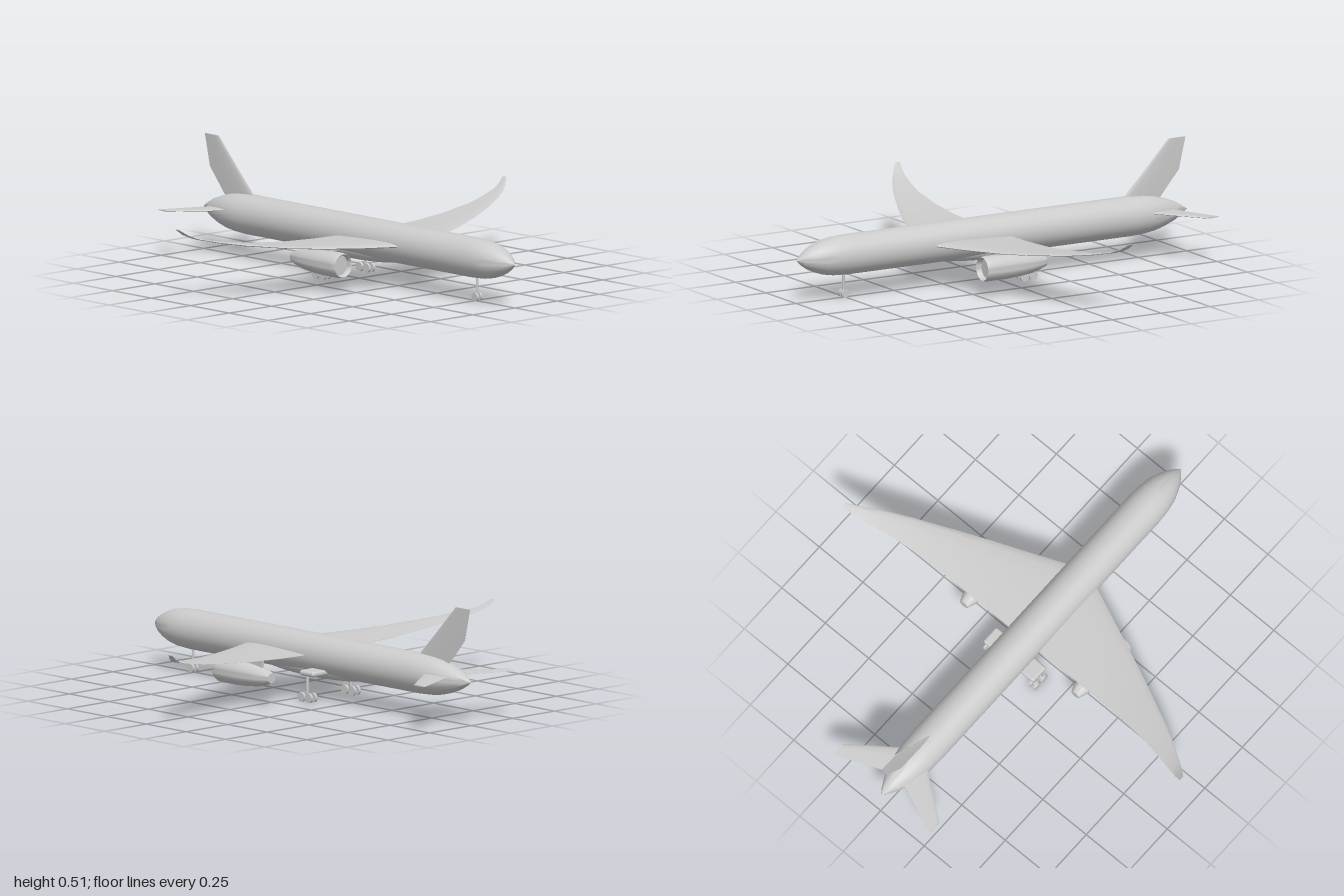
import * as THREE from 'three';
import { toCreasedNormals } from 'three/addons/utils/BufferGeometryUtils.js';
import { RoundedBoxGeometry } from 'three/addons/geometries/RoundedBoxGeometry.js';

const grey = new THREE.MeshStandardMaterial({ color: 0xcccccc, side: THREE.DoubleSide });

function add(parent, name, geometry, x = 0, y = 0, z = 0) {
  const mesh = new THREE.Mesh(geometry, grey);
  mesh.name = name;
  mesh.position.set(x, y, z);
  parent.add(mesh);
  return mesh;
}

function group(parent, name, x = 0, y = 0, z = 0) {
  const g = new THREE.Group();
  g.name = name;
  g.position.set(x, y, z);
  parent.add(g);
  return g;
}

// Body of revolution about the z axis from [z, radius] pairs running back to front
function turned(profile, segments = 40) {
  const points = profile.map(([z, r]) => new THREE.Vector2(r, z));
  return toCreasedNormals(new THREE.LatheGeometry(points, segments).rotateX(Math.PI / 2), 0.7);
}

// Skin over closed cross-sections that all have the same number of points
function loft(sections) {
  const n = sections[0].length;
  const index = [];
  for (let i = 0; i < sections.length - 1; i++) {
    for (let j = 0; j < n; j++) {
      const a = i * n + j, b = i * n + (j + 1) % n;
      index.push(a, a + n, b, b, a + n, b + n);
    }
  }
  const last = (sections.length - 1) * n;
  for (let j = 1; j < n - 1; j++) index.push(0, j, j + 1, last, last + j + 1, last + j);
  const g = new THREE.BufferGeometry();
  g.setAttribute('position', new THREE.Float32BufferAttribute(sections.flat(2), 3));
  g.setIndex(index);
  return toCreasedNormals(g, 0.6);
}

// Aerofoil outline: [fraction of chord from the leading edge, fraction of half thickness]
const FOIL = [[0, 0], [0.03, 0.5], [0.12, 0.9], [0.35, 1], [0.7, 0.55], [1, 0.06],
  [1, -0.06], [0.7, -0.55], [0.35, -1], [0.12, -0.9], [0.03, -0.5]];

// Aerofoil surface through stations [span, height, leading z, trailing z, thickness]
function surface(stations) {
  return loft(stations.map(([x, y, lead, trail, t]) =>
    FOIL.map(([c, h]) => [x, y + h * t / 2, lead + (trail - lead) * c])));
}

const mirrored = (s) => [...s.slice(1).reverse().map(([x, ...rest]) => [-x, ...rest]), ...s];

function addWheelPair(parent, radius, spacing, z) {
  for (const side of [-1, 1]) {
    add(parent, 'wheel', new THREE.CylinderGeometry(radius, radius, 0.011, 24).rotateZ(Math.PI / 2),
      side * spacing, radius, z);
  }
  add(parent, 'axle', new THREE.CylinderGeometry(0.004, 0.004, spacing * 2, 10).rotateZ(Math.PI / 2), 0, radius, z);
}

export function createModel() {
  const plane = new THREE.Group();
  plane.name = 'airliner';

  // Fuselage with pointed nose and tail
  add(plane, 'fuselage', turned([[-1, 0], [-0.97, 0.02], [-0.93, 0.042], [-0.87, 0.064], [-0.82, 0.077],
    [-0.77, 0.084], [-0.7, 0.088], [0.75, 0.088], [0.82, 0.084], [0.87, 0.075], [0.91, 0.061],
    [0.94, 0.047], [0.965, 0.031], [1, 0]], 48), 0, 0.19, 0);
  add(plane, 'bellyFairing', new THREE.SphereGeometry(1, 32, 20).scale(0.06, 0.045, 0.36), 0, 0.13, -0.03);

  // Swept wings, curving up towards the tips
  add(plane, 'wings', surface(mirrored([
    [0, 0.192, 0.38, -0.045, 0.024],
    [0.09, 0.194, 0.34, -0.045, 0.022],
    [0.23, 0.197, 0.28, -0.045, 0.018],
    [0.4, 0.205, 0.207, -0.046, 0.014],
    [0.55, 0.217, 0.138, -0.053, 0.011],
    [0.72, 0.238, 0.055, -0.07, 0.009],
    [0.82, 0.255, 0, -0.093, 0.007],
    [0.9, 0.273, -0.052, -0.113, 0.006],
    [0.935, 0.289, -0.078, -0.122, 0.005],
    [0.968, 0.315, -0.106, -0.131, 0.004],
  ])));

  // Tailplane and its elevators
  add(plane, 'tailplane', surface(mirrored([
    [0, 0.206, -0.72, -0.93, 0.012], [0.06, 0.206, -0.765, -0.905, 0.011], [0.278, 0.206, -0.93, -0.998, 0.006],
  ])));
  // Upright fin, laid out along x and turned to stand up
  add(plane, 'fin', surface([
    [0.24, 0, -0.645, -0.85, 0.013], [0.27, 0, -0.67, -0.875, 0.012],
    [0.37, 0, -0.768, -0.96, 0.01], [0.512, 0, -0.903, -0.993, 0.006],
  ]).rotateZ(Math.PI / 2));

  // Engines hung below the wings
  for (const side of [-1, 1]) {
    const engine = group(plane, side > 0 ? 'leftEngine' : 'rightEngine', side * 0.32, 0.125, 0);
    add(engine, 'nacelle', turned([[-0.076, 0], [-0.076, 0.022], [-0.045, 0.034], [0, 0.045], [0.06, 0.052],
      [0.13, 0.056], [0.22, 0.056], [0.238, 0.054], [0.245, 0.051], [0.24, 0.047], [0.22, 0.045], [0.22, 0]], 36));
    add(engine, 'pylon', new THREE.BoxGeometry(0.012, 0.04, 0.18), 0, 0.055, 0.07);
  }

  // Nose gear
  const noseGear = group(plane, 'noseGear', 0, 0, 0.757);
  add(noseGear, 'strut', new THREE.CylinderGeometry(0.006, 0.006, 0.1, 12), 0, 0.068, 0);
  addWheelPair(noseGear, 0.018, 0.011, 0);

  // Main gear: pod on the belly, strut and four-wheel bogie
  for (const side of [-1, 1]) {
    const gear = group(plane, side > 0 ? 'leftMainGear' : 'rightMainGear', side * 0.13, 0, -0.102);
    add(gear, 'pod', new RoundedBoxGeometry(0.11, 0.024, 0.09, 4, 0.011), -side * 0.04, 0.127, -0.006);
    add(gear, 'strut', new THREE.CylinderGeometry(0.007, 0.007, 0.1, 12), 0, 0.07, 0);
    add(gear, 'bogieBeam', new THREE.BoxGeometry(0.008, 0.008, 0.046), 0, 0.021, 0);
    for (const z of [-0.023, 0.023]) addWheelPair(gear, 0.021, 0.013, z);
  }

  return plane;
}
